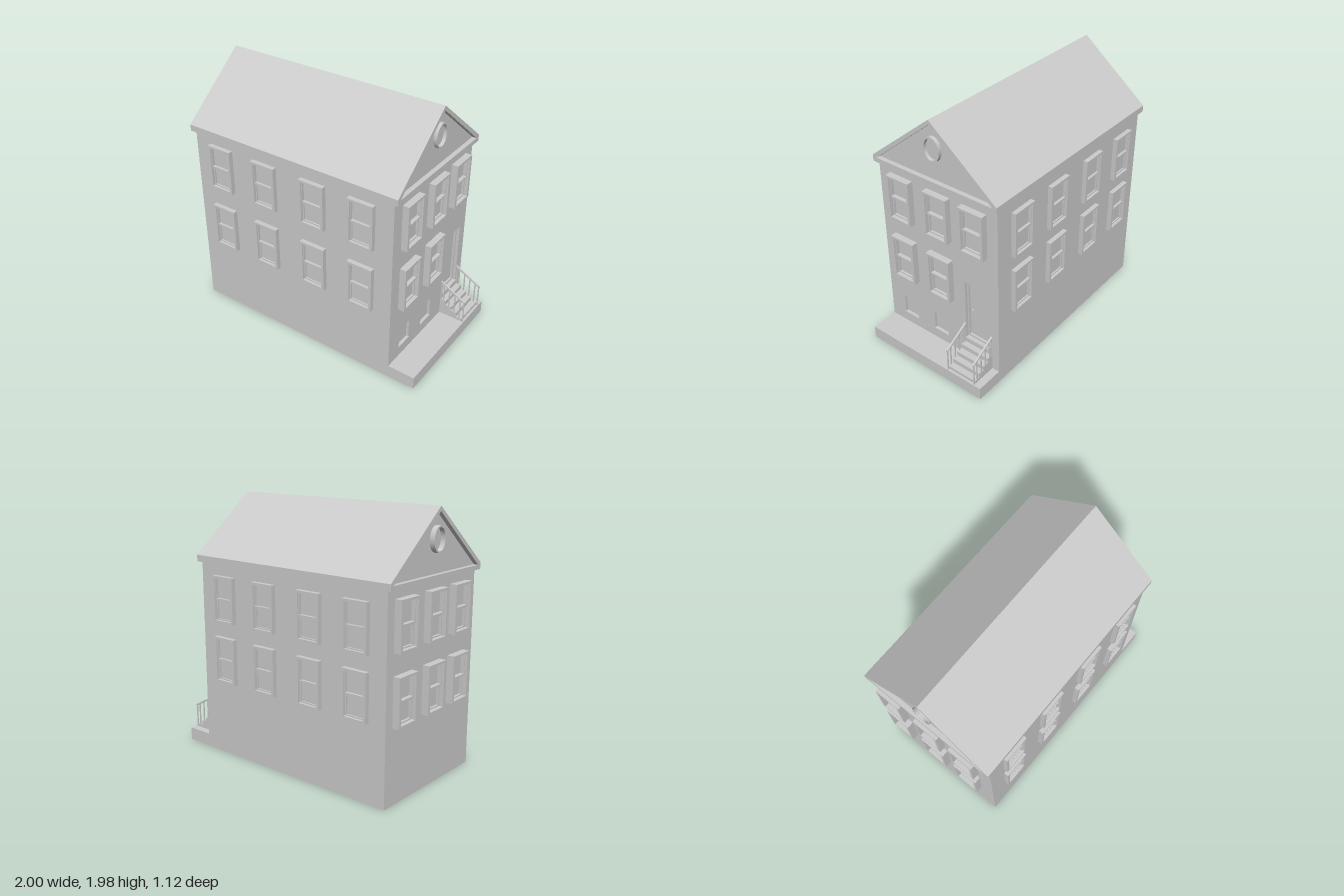
import * as THREE from 'three';

const grey = new THREE.MeshStandardMaterial({ color: 0xcccccc, flatShading: true });

const polygon = (points, Kind = THREE.Shape) => new Kind(points.map(([x, y]) => new THREE.Vector2(x, y)));
const rect = (u0, u1, y0, y1) => [[u0, y0], [u1, y0], [u1, y1], [u0, y1]];

function add(parent, name, geometry, x = 0, y = 0, z = 0) {
  const mesh = new THREE.Mesh(geometry, grey);
  mesh.name = name;
  mesh.position.set(x, y, z);
  parent.add(mesh);
  return mesh;
}

// Box given by its limits
function block(parent, name, x0, x1, y0, y1, z0, z1) {
  return add(parent, name, new THREE.BoxGeometry(x1 - x0, y1 - y0, z1 - z0),
    (x0 + x1) / 2, (y0 + y1) / 2, (z0 + z1) / 2);
}

// Outline with holes, extruded from z0 to z1
function plate(parent, name, outline, holes, z0, z1) {
  const shape = polygon(outline);
  holes.forEach((h) => shape.holes.push(polygon(h, THREE.Path)));
  const geometry = new THREE.ExtrudeGeometry(shape, { depth: z1 - z0, bevelEnabled: false });
  return add(parent, name, geometry, 0, 0, z0);
}

// Facade frame: local x runs along the wall, local z points outward
function facade(parent, name, angle) {
  const group = new THREE.Group();
  group.name = name;
  group.rotation.y = angle;
  parent.add(group);
  return group;
}

// Sash window standing out from the wall by depth
function sashWindow(parent, u, y, wall, depth) {
  const g = new THREE.Group();
  g.name = 'sashWindow';
  g.position.set(u, y, wall);
  parent.add(g);
  const w = 0.104, h = 0.177, iw = 0.083, ih = 0.16;
  plate(g, 'windowCasing', rect(-w, w, -h, h), [rect(-iw, iw, -ih, ih)], -0.005, depth);
  block(g, 'windowGlass', -iw, iw, -ih, ih, -0.005, 0.003);
  plate(g, 'upperSash', rect(-iw, iw, -0.006, ih),
    [rect(-iw + 0.005, iw - 0.005, 0.006, ih - 0.006)], 0, depth * 0.65);
  plate(g, 'lowerSash', rect(-iw, iw, -ih, -0.006),
    [rect(-iw + 0.009, iw - 0.009, -ih + 0.009, -0.018)], 0, depth * 0.4);
}

// Oval gable window: raised ring with a flat pane
function ovalWindow(parent, z0, z1) {
  const ring = new THREE.Shape().absellipse(0, 0, 0.072, 0.092, 0, Math.PI * 2);
  ring.holes.push(new THREE.Path().absellipse(0, 0, 0.06, 0.08, 0, Math.PI * 2));
  const options = { depth: z1 - z0, bevelEnabled: false, curveSegments: 20 };
  add(parent, 'ovalFrame', new THREE.ExtrudeGeometry(ring, options), 0, 1.76, z0);
  const pane = new THREE.Shape().absellipse(0, 0, 0.061, 0.081, 0, Math.PI * 2);
  add(parent, 'ovalPane', new THREE.ExtrudeGeometry(pane, { ...options, depth: 0.007 }), 0, 1.76, z0);
}

export function createModel() {
  const house = new THREE.Group();
  house.name = 'townhouse';

  const front = facade(house, 'longFacadeFront', 0);
  const back = facade(house, 'longFacadeBack', Math.PI);
  const entrance = facade(house, 'entranceFacade', Math.PI / 2);
  const rear = facade(house, 'rearFacade', -Math.PI / 2);

  // Main body, with a thick entrance wall pierced for the door and cellar lights
  block(house, 'body', -0.945, 0.735, 0, 1.5, -0.525, 0.525);
  const doorway = rect(0.225, 0.45, 0.27, 0.78);
  const cellars = [-0.323, -0.018].map((u) => rect(u - 0.066, u + 0.066, 0.185, 0.345));
  plate(entrance, 'entranceWall', rect(-0.525, 0.525, 0, 1.5), [doorway, ...cellars], 0.735, 0.785);
  block(house, 'pavement', 0.785, 1, 0, 0.1, -0.525, 0.525);

  // Cellar lights with sills
  for (const u of [-0.323, -0.018]) {
    block(entrance, 'cellarPane', u - 0.066, u + 0.066, 0.185, 0.345, 0.735, 0.765);
    block(entrance, 'cellarSill', u - 0.07, u + 0.07, 0.18, 0.188, 0.76, 0.79);
  }

  // Door, frame and knob
  plate(entrance, 'doorFrame', rect(0.225, 0.45, 0.27, 0.78),
    [rect(0.237, 0.438, 0.285, 0.762)], 0.73, 0.76);
  block(entrance, 'door', 0.237, 0.438, 0.285, 0.762, 0.73, 0.742);
  add(entrance, 'doorKnob', new THREE.SphereGeometry(0.008, 12, 8), 0.265, 0.52, 0.75);

  // Roof shell with recessed gables
  const outline = [[-0.545, 1.49], [0.545, 1.49], [0.545, 1.54], [0, 1.98], [-0.545, 1.54]];
  const gable = [[-0.512, 1.525], [0.512, 1.525], [0, 1.945]];
  plate(entrance, 'roof', outline, [gable], -0.98, 0.82);
  plate(entrance, 'gableWall', gable, [], -0.945, 0.785);
  ovalWindow(entrance, 0.78, 0.812);
  ovalWindow(rear, 0.94, 0.983);

  // Windows on all four sides
  for (const x of [-0.703, -0.297, 0.132, 0.538]) {
    for (const y of [0.738, 1.25]) sashWindow(front, x, y, 0.525, 0.036);
    for (const y of [0.76, 1.228]) sashWindow(back, -x, y, 0.525, 0.036);
  }
  for (const y of [0.738, 1.25]) {
    for (const z of [-0.345, -0.005, 0.305]) sashWindow(rear, z, y, 0.945, 0.055);
    for (const u of [-0.32, 0.018, 0.33]) {
      if (u < 0.3 || y > 1) sashWindow(entrance, u, y, 0.785, 0.05);
    }
  }

  // Entrance steps
  const treads = [[0.835, 0.23], [0.885, 0.193], [0.932, 0.158], [0.98, 0.123]];
  const profile = [[0.785, 0.1], [0.98, 0.1]];
  [...treads].reverse().forEach(([x, y], i, list) => {
    profile.push([x, y], [i < 3 ? list[i + 1][0] : 0.785, y]);
  });
  plate(house, 'steps', profile, [], -0.465, -0.215);
  block(house, 'threshold', 0.74, 0.792, 0.23, 0.268, -0.455, -0.22);

  // Railings on both sides of the steps
  const slope = (0.28 - 0.395) / (0.995 - 0.785);
  const railY = (x) => 0.395 + slope * (x - 0.785);
  for (const z of [-0.22, -0.462]) {
    const rail = [[0.785, 0.388], [0.995, 0.273], [0.995, 0.287], [0.785, 0.402]];
    plate(house, 'handrail', rail, [], z - 0.007, z + 0.007);
    [[0.792, 0.23], [0.812, 0.23], [0.86, 0.193], [0.908, 0.158], [0.955, 0.123], [0.988, 0.1]]
      .forEach(([x, foot]) => block(house, 'baluster', x - 0.004, x + 0.004, foot, railY(x), z - 0.004, z + 0.004));
  }

  return house;
}
